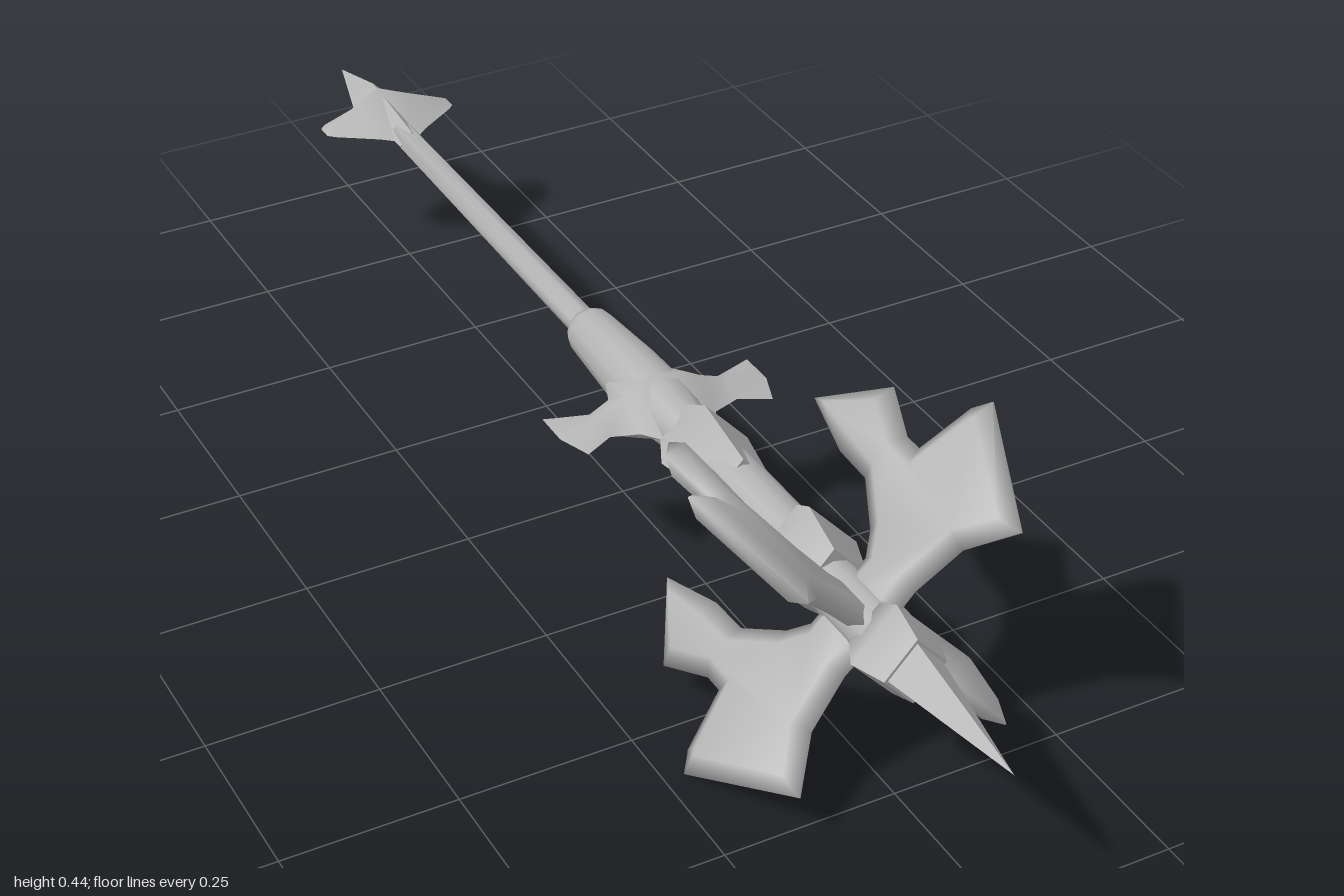
import * as THREE from 'three';
import { toCreasedNormals } from 'three/addons/utils/BufferGeometryUtils.js';

const steel = new THREE.MeshStandardMaterial({ color: 0xb4b4b4 });
steel.name = 'steel';

function mesh(name, geometry, crease = 1.2) {
  const m = new THREE.Mesh(toCreasedNormals(geometry, crease), steel);
  m.name = name;
  return m;
}

// Turned part along z; profile rows are [z, radius], given from back to front
function turned(name, profile, sides, tall = 1) {
  const g = new THREE.LatheGeometry(profile.map(([z, r]) => new THREE.Vector2(r, z)), sides);
  g.rotateX(Math.PI / 2).scale(1, tall, 1);
  return mesh(name, g);
}

// Mirrored cross piece: diamond sections [x, zBack, zRidge, zFront, halfHeight] from centre to tip
function crossPiece(name, half) {
  const mirrored = half.slice(1).reverse().map(([x, ...rest]) => [-x, ...rest]);
  const rings = [...mirrored, ...half];
  const pos = [], index = [];
  for (const [x, z0, zm, z1, h] of rings) {
    pos.push(x, h, zm, x, 0, z1, x, -h, zm, x, 0, z0);
  }
  for (let i = 0; i < rings.length - 1; i++) {
    for (let j = 0; j < 4; j++) {
      const a = i * 4 + j, b = i * 4 + (j + 1) % 4;
      index.push(a, b, a + 4, b, b + 4, a + 4);
    }
  }
  const g = new THREE.BufferGeometry();
  g.setAttribute('position', new THREE.Float32BufferAttribute(pos, 3));
  g.setIndex(index);
  return mesh(name, g);
}

export function createModel() {
  const group = new THREE.Group();
  group.name = 'mace';
  const body = new THREE.Group();
  body.name = 'maceBody';
  body.position.y = 0.222;
  group.add(body);

  // Rod, grip socket and neck
  body.add(
    turned('rod', [[-0.76, 0.018], [-0.1, 0.022]], 12),
    turned('socket', [[-0.115, 0], [-0.115, 0.03], [-0.1, 0.037], [0.02, 0.045],
      [0.12, 0.047], [0.21, 0.034], [0.21, 0]], 12),
    turned('neck', [[0.18, 0.034], [0.28, 0.042], [0.5, 0.042], [0.57, 0.038], [0.76, 0.038]], 12),
  );

  // Four-sided collars and the head spike
  body.add(
    turned('lowerCollar', [[0.19, 0], [0.19, 0.042], [0.24, 0.067], [0.345, 0.046], [0.345, 0]], 4, 1.1),
    turned('middleCollar', [[0.485, 0], [0.485, 0.06], [0.515, 0.075], [0.58, 0.052], [0.58, 0]], 4, 1.1),
    turned('upperCollar', [[0.69, 0], [0.69, 0.042], [0.73, 0.064], [0.78, 0.046], [0.78, 0]], 4, 1.1),
    turned('headSpike', [[0.74, 0], [0.755, 0.045], [0.87, 0.024], [1, 0]], 4, 1.1),
  );

  // Cross guard with flared ends
  body.add(crossPiece('crossGuard', [
    [0, 0.0, 0.11, 0.2, 0.05],
    [0.04, 0.02, 0.115, 0.19, 0.043],
    [0.06, 0.07, 0.118, 0.165, 0.033],
    [0.1, 0.09, 0.12, 0.152, 0.019],
    [0.145, 0.076, 0.12, 0.175, 0.006],
    [0.163, 0.07, 0.11, 0.125, 0],
  ]));

  // Pommel: central point with side wings
  body.add(
    turned('pommelPoint', [[-1, 0], [-0.87, 0.036], [-0.79, 0.028], [-0.72, 0.02], [-0.72, 0]], 4),
    crossPiece('pommelWings', [
      [0, -0.9, -0.85, -0.72, 0.037],
      [0.04, -0.868, -0.835, -0.755, 0.026],
      [0.1, -0.84, -0.82, -0.795, 0.008],
      [0.11, -0.83, -0.82, -0.805, 0],
    ]),
  );

  // Four softly bevelled blades on the diagonals; outline points are [radius, z]
  const outline = [[-0.03, 0.7], [0.07, 0.695], [0.15, 0.712], [0.217, 0.768], [0.313, 0.592], [0.288, 0.57],
    [0.205, 0.545], [0.205, 0.515], [0.24, 0.44], [0.157, 0.34], [0.13, 0.44],
    [0.128, 0.505], [0.085, 0.57], [0.055, 0.595], [-0.03, 0.595]];
  const shape = new THREE.Shape(outline.map(([r, z]) => new THREE.Vector2(r, z)));
  const bladeGeometry = new THREE.ExtrudeGeometry(shape, {
    depth: 0.002, bevelThickness: 0.016, bevelSize: 0.023, bevelOffset: -0.023, bevelSegments: 1,
  });
  bladeGeometry.translate(0, 0, -0.001).rotateX(Math.PI / 2);
  for (let i = 0; i < 4; i++) {
    const blade = mesh('blade', bladeGeometry, 2.2);
    blade.rotation.z = Math.PI / 4 + i * Math.PI / 2;
    body.add(blade);
  }
  return group;
}
